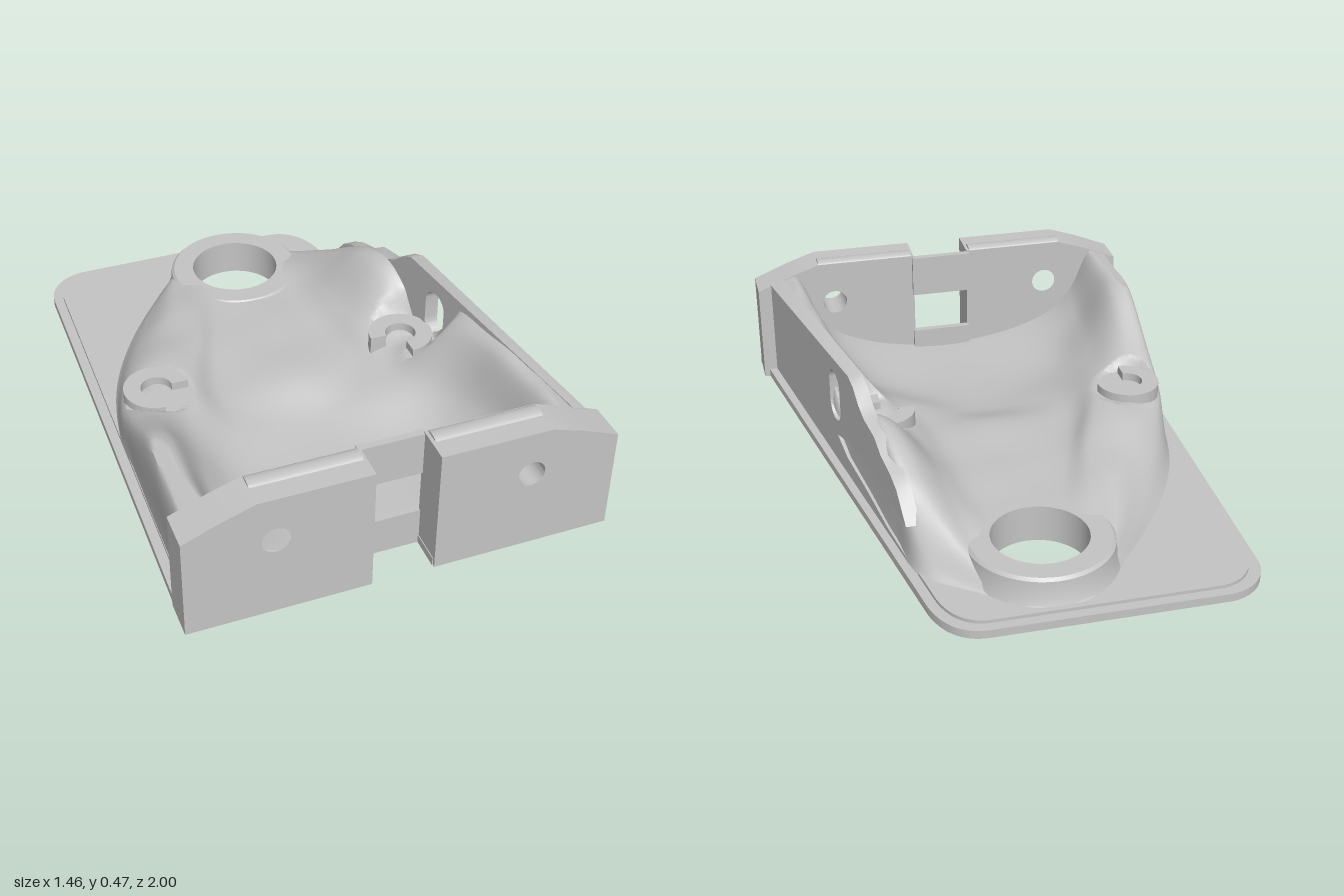
import * as THREE from 'three';
import { toCreasedNormals } from 'three/addons/utils/BufferGeometryUtils.js';

const grey = new THREE.MeshStandardMaterial({ color: 0xc4c4c4 });
grey.name = 'grey';

const HOLE = { z: -0.68, r: 0.165 };
const POSTS = [[-0.54, 0.08, -1], [0.38, 0.08, 1]];
const rightX = (z) => 0.527 + 0.1765 * z; // outer plane of the slanted wall
const roofY = (x) => Math.min(0.46, 0.465 - 0.375 * (Math.abs(x) - 0.49)); // chamfered top limit

function add(group, name, geometry) {
  const mesh = new THREE.Mesh(geometry, grey);
  mesh.name = name;
  group.add(mesh);
  return mesh;
}

// Extrudes a shape drawn in (x, -z) upward from y0 to y1
function slab(shape, y0, y1) {
  const g = new THREE.ExtrudeGeometry(shape, { depth: y1 - y0, bevelEnabled: false, curveSegments: 32 });
  g.rotateX(-Math.PI / 2).translate(0, y0, 0);
  return toCreasedNormals(g, 0.6);
}

// Tapered plate outline with round back corners, front notch and big hole
function plateShape(inset, front, notch) {
  const s = new THREE.Shape();
  const left = -0.7 + inset, back = 1 - inset, r = 0.16 - inset * 0.5;
  const right = (z) => 0.557 + 0.1765 * z - inset;
  s.moveTo(-0.728 + inset, -front);
  if (notch) {
    s.lineTo(-0.11, -front);
    s.lineTo(-0.11, -0.875);
    s.lineTo(0.105, -0.875);
    s.lineTo(0.105, -front);
  }
  s.lineTo(right(front), -front);
  s.lineTo(right(-back + r), back - r);
  s.quadraticCurveTo(right(-back) - 0.01, back, right(-back) - r + 0.02, back);
  s.lineTo(left + r, back);
  s.absarc(left + r, back - r, r, Math.PI / 2, Math.PI, false);
  s.closePath();
  s.holes.push(new THREE.Path().absarc(0, -HOLE.z, HOLE.r, 0, Math.PI * 2, true));
  return s;
}

// Cross-sections of the organic body: z, then x,y pairs from left to right
const SECTIONS = [
  [0.87, -0.69, 0.04, -0.69, 0.39, -0.63, 0.41, -0.54, 0.24, -0.4, 0.13, 0, 0.06, 0.38, 0.14, 0.5, 0.24, 0.58, 0.42, 0.66, 0.4],
  [0.5, -0.685, 0.04, -0.68, 0.385, -0.62, 0.38, -0.5, 0.2, -0.36, 0.1, 0, 0.06, 0.3, 0.1, 0.44, 0.2, 0.54, 0.41, 0.595, 0.42],
  [0.25, -0.68, 0.04, -0.675, 0.25, -0.6, 0.26, -0.46, 0.2, -0.3, 0.12, 0, 0.085, 0.2, 0.13, 0.33, 0.18, 0.49, 0.38, 0.55, 0.42],
  [0.08, -0.68, 0.04, -0.66, 0.19, -0.58, 0.215, -0.42, 0.21, -0.31, 0.14, 0, 0.135, 0.2, 0.14, 0.3, 0.18, 0.46, 0.21, 0.51, 0.21],
  [-0.2, -0.62, 0.04, -0.56, 0.14, -0.45, 0.19, -0.31, 0.185, -0.23, 0.14, 0, 0.135, 0.17, 0.14, 0.26, 0.2, 0.4, 0.35, 0.455, 0.36],
  [-0.45, -0.5, 0.04, -0.44, 0.1, -0.34, 0.16, -0.24, 0.16, -0.15, 0.135, 0, 0.13, 0.15, 0.135, 0.24, 0.18, 0.36, 0.27, 0.415, 0.27],
  [-0.7, -0.32, 0.04, -0.29, 0.08, -0.25, 0.12, -0.2, 0.12, -0.1, 0.12, 0, 0.12, 0.1, 0.12, 0.2, 0.12, 0.27, 0.13, 0.35, 0.07],
];

// Lofts the body smoothly through its sections to a small tip, leaving out the big hole
function bodyGeometry() {
  const rows = 130, cols = 110, columns = [];
  for (let c = 0; c < 11; c++) {
    const pts = SECTIONS.map((s) => c < 10
      ? new THREE.Vector3(s[1 + c * 2], s[2 + c * 2], s[0])
      : new THREE.Vector3(Math.min(rightX(s[0]) - 0.008, s[19] + 0.04), 0.035, s[0]));
    pts.push(new THREE.Vector3((c - 5) * 0.02, 0.04, -0.95));
    columns.push(new THREE.CatmullRomCurve3(pts));
  }
  const pos = [], index = [];
  for (let i = 0; i <= rows; i++) {
    const row = new THREE.CatmullRomCurve3(columns.map((c) => c.getPoint(i / rows)));
    for (let j = 0; j <= cols; j++) {
      const p = row.getPoint(j / cols);
      const fade = THREE.MathUtils.clamp((p.y - 0.1) * 8, 0, 1);
      p.y += 0.008 * fade * Math.sin(p.x * 13 + p.z * 5 + 2) * Math.sin(p.z * 15 - p.x * 7);
      p.y = Math.min(p.y, roofY(p.x));
      // ground levels off around the screw posts
      for (const [x, z] of POSTS) {
        p.y = Math.min(p.y, 0.205 + 2.2 * Math.max(0, Math.hypot(p.x - x, p.z - z) - 0.13));
      }
      p.z = Math.min(p.z, 0.875);
      pos.push(p.x, p.y, p.z);
    }
  }
  const inHole = (k) => Math.hypot(pos[k * 3], pos[k * 3 + 2] - HOLE.z) < 0.185;
  for (let i = 0; i < rows; i++) for (let j = 0; j < cols; j++) {
    const a = i * (cols + 1) + j, b = a + 1, c = a + cols + 1, d = c + 1;
    if (![a, b, c, d].some(inHole)) index.push(a, b, c, b, d, c);
  }
  const g = new THREE.BufferGeometry();
  g.setAttribute('position', new THREE.Float32BufferAttribute(pos, 3));
  g.setIndex(index);
  return toCreasedNormals(g, 0.8);
}

// Slanted right wall with a ragged back edge, an eroded groove and a slot
function sideWallGeometry() {
  const s = new THREE.Shape([
    [0.875, 0.03], [0.875, 0.398], [-0.05, 0.455], [-0.1, 0.435], [-0.15, 0.39], [-0.2, 0.365], [-0.3, 0.35], [-0.36, 0.31],
    [-0.44, 0.29], [-0.5, 0.26], [-0.55, 0.2], [-0.58, 0.165], [-0.5, 0.17], [-0.35, 0.19], [-0.2, 0.2], [0, 0.17],
    [0.1, 0.14], [0, 0.1], [-0.2, 0.08], [-0.4, 0.05], [-0.6, 0.04], [-0.6, 0.03],
  ].map(([z, y]) => new THREE.Vector2(z, y)));
  const slot = new THREE.Path();
  slot.absarc(0.11, 0.34, 0.055, 0, Math.PI, false);
  slot.absarc(0.11, 0.255, 0.055, Math.PI, Math.PI * 2, false);
  slot.closePath();
  s.holes.push(slot);
  const g = new THREE.ExtrudeGeometry(s, { depth: 0.05, bevelEnabled: false });
  const p = g.attributes.position;
  for (let i = 0; i < p.count; i++) {
    const z = p.getX(i), d = p.getZ(i), y = p.getY(i);
    p.setXYZ(i, rightX(z) - d, y > 0.396 && z > -0.06 ? Math.min(0.46, y + d * 0.375) : y, z);
  }
  return toCreasedNormals(g, 0.5);
}

// Front block with chamfered outer top and a round screw hole
function blockGeometry(side) {
  const pts = [[0.108, 0], [0.73, 0], [0.73, 0.375], [0.6, 0.428], [0.49, 0.465], [0.108, 0.465]];
  const s = new THREE.Shape(pts.map(([x, y]) => new THREE.Vector2(x * side, y)));
  s.holes.push(new THREE.Path().absarc(0.43 * side, 0.3, 0.047, 0, Math.PI * 2, true));
  const g = new THREE.ExtrudeGeometry(s, { depth: 0.135, bevelEnabled: false, curveSegments: 24 });
  return toCreasedNormals(g.translate(0, 0, 0.865), 0.5);
}

// Screw post: a ring with one quarter left open
function postShape(side) {
  const s = new THREE.Shape();
  const start = side < 0 ? 0 : -Math.PI / 2;
  s.absarc(0, 0, 0.115, start, start + Math.PI * 1.5, false);
  s.absarc(0, 0, 0.055, start + Math.PI * 1.5, start, true);
  s.closePath();
  return s;
}

export function createModel() {
  const model = new THREE.Group();
  model.name = 'mountingBracket';

  // Base
  add(model, 'basePlate', slab(plateShape(0, 0.99, true), 0, 0.03));
  add(model, 'raisedPlate', slab(plateShape(0.035, 0.87, false), 0.025, 0.042));

  // Organic body and slanted wall
  add(model, 'body', bodyGeometry());
  add(model, 'sideWall', sideWallGeometry());

  // Round boss around the big hole
  const profile = [[0.165, 0.02], [0.27, 0.035], [0.255, 0.07], [0.25, 0.125], [0.24, 0.135], [0.165, 0.135], [0.165, 0.02]];
  const boss = new THREE.LatheGeometry(profile.map(([x, y]) => new THREE.Vector2(x, y)), 56);
  add(model, 'boss', toCreasedNormals(boss, 0.5)).position.z = HOLE.z;

  // Screw posts
  for (const [x, z, side] of POSTS) {
    add(model, side < 0 ? 'rightPost' : 'leftPost', slab(postShape(side), 0.04, 0.235)).position.set(x, 0, z);
  }

  // Front blocks with rounded ribs on top
  for (const side of [-1, 1]) {
    add(model, side < 0 ? 'rightBlock' : 'leftBlock', blockGeometry(side));
    const rib = new THREE.CylinderGeometry(0.03, 0.03, 0.37, 20).rotateZ(Math.PI / 2).scale(1, 0.4, 1);
    add(model, side < 0 ? 'rightRib' : 'leftRib', rib).position.set(side * 0.305, 0.462, 0.897);
  }

  // Recessed centre panel above and below the window
  for (const [name, y0, y1] of [['windowSill', 0.01, 0.14], ['windowLintel', 0.3, 0.46]]) {
    add(model, name, new THREE.BoxGeometry(0.23, y1 - y0, 0.025)).position.set(0, (y0 + y1) / 2, 0.8625);
  }
  return model;
}
